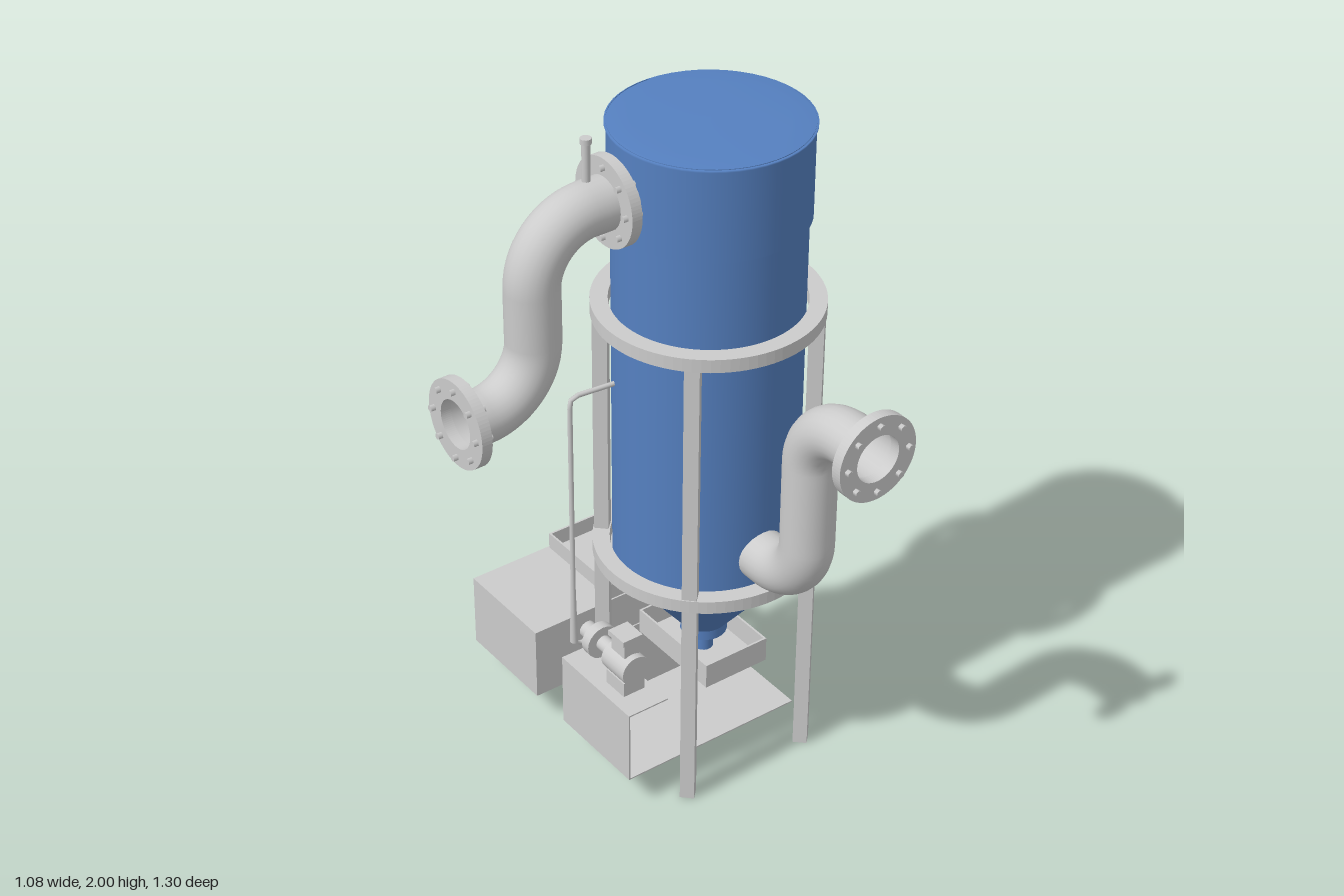
import * as THREE from 'three';

const grey = new THREE.MeshStandardMaterial({ color: 0xcccccc, side: THREE.DoubleSide });
const blue = new THREE.MeshStandardMaterial({ color: 0x5580c0, side: THREE.DoubleSide });
const V = (x, y, z) => new THREE.Vector3(x, y, z);
const CX = 0.235, CZ = -0.047; // tower axis

export function createModel() {
  const root = new THREE.Group();
  root.name = 'filterTower';

  const add = (name, geo, x = 0, y = 0, z = 0, mat = grey, parent = root) => {
    const m = new THREE.Mesh(geo, mat);
    m.name = name;
    m.position.set(x, y, z);
    parent.add(m);
    return m;
  };
  // cylinder between two heights
  const cyl = (name, rTop, rBot, y0, y1, x, z, mat = grey, parent = root, seg = 24) =>
    add(name, new THREE.CylinderGeometry(rTop, rBot, y1 - y0, seg), x, (y0 + y1) / 2, z, mat, parent);
  // box from its limits
  const box = (name, x0, x1, y0, y1, z0, z1, parent = root) =>
    add(name, new THREE.BoxGeometry(x1 - x0, y1 - y0, z1 - z0),
      (x0 + x1) / 2, (y0 + y1) / 2, (z0 + z1) / 2, grey, parent);
  // box open at the top, with thin walls
  const tray = (name, x0, x1, y0, y1, z0, z1) => {
    const g = new THREE.Group(), t = 0.006;
    g.name = name;
    box('trayFloor', x0, x1, y0, y0 + t, z0, z1, g);
    box('traySideA', x0, x0 + t, y0, y1, z0, z1, g);
    box('traySideB', x1 - t, x1, y0, y1, z0, z1, g);
    box('trayEndA', x0, x1, y0, y1, z0, z0 + t, g);
    box('trayEndB', x0, x1, y0, y1, z1 - t, z1, g);
    root.add(g);
  };
  // tube through corner points with rounded bends
  const pipe = (name, pts, bend, r, seg = 24) => {
    const path = new THREE.CurvePath();
    let from = pts[0];
    for (let i = 1; i < pts.length - 1; i++) {
      const c = pts[i];
      const u = pts[i - 1].clone().sub(c).normalize(), w = pts[i + 1].clone().sub(c).normalize();
      const a = c.clone().addScaledVector(u, bend), b = c.clone().addScaledVector(w, bend);
      path.add(new THREE.LineCurve3(from, a));
      const k = 0.45 * bend;
      path.add(new THREE.CubicBezierCurve3(a, c.clone().addScaledVector(u, k), c.clone().addScaledVector(w, k), b));
      from = b;
    }
    path.add(new THREE.LineCurve3(from, pts[pts.length - 1]));
    return add(name, new THREE.TubeGeometry(path, 48, r, seg, false));
  };
  // flat ring, centred on its thickness, axis along z
  const ringGeo = (R, r, t) => {
    const s = new THREE.Shape().absarc(0, 0, R, 0, Math.PI * 2);
    s.holes.push(new THREE.Path().absarc(0, 0, r, 0, Math.PI * 2, true));
    return new THREE.ExtrudeGeometry(s, { depth: t, bevelEnabled: false, curveSegments: 40 }).translate(0, 0, -t / 2);
  };
  // pipe flange with eight bolts
  const flange = (name, x, y, z, alongX) => {
    const g = new THREE.Group();
    g.name = name;
    add('flangeRing', ringGeo(0.12, 0.066, 0.03), 0, 0, 0, grey, g);
    for (let i = 0; i < 8; i++) {
      const a = (i * Math.PI) / 4;
      add('bolt', new THREE.CylinderGeometry(0.009, 0.009, 0.056, 6).rotateX(Math.PI / 2),
        0.096 * Math.cos(a), 0.096 * Math.sin(a), 0, grey, g);
    }
    g.position.set(x, y, z);
    if (alongX) g.rotation.y = Math.PI / 2;
    root.add(g);
  };
  // shell with its back left quarter cut away
  const shell = (name, rTop, rBot, y0, y1) =>
    add(name, new THREE.CylinderGeometry(rTop, rBot, y1 - y0, 48, 1, true, Math.PI, Math.PI * 1.5),
      CX, (y0 + y1) / 2, CZ, blue);

  // Tower shell
  shell('upperShell', 0.26, 0.26, 1.69, 1.95);
  shell('mainShell', 0.251, 0.251, 0.63, 1.69);
  shell('shellStep', 0.26, 0.251, 1.688, 1.69);
  shell('hopperCone', 0.251, 0.065, 0.4, 0.63);
  cyl('hopperNeck', 0.065, 0.065, 0.37, 0.4, CX, CZ, blue);
  cyl('drainPipe', 0.027, 0.027, 0.25, 0.37, CX, CZ, blue);
  const lid = [[0.265, 1.943], [0.265, 1.948], [0.2, 1.951], [0.1, 1.954], [0, 1.955]];
  add('lid', new THREE.LatheGeometry(lid.map(p => new THREE.Vector2(...p)), 48), CX, 0, CZ, blue);

  // Support frame
  for (const y of [0.668, 1.422])
    add('supportRing', ringGeo(0.305, 0.258, 0.038).rotateX(Math.PI / 2), CX, y, CZ);
  for (const sx of [-1, 1]) for (const sz of [-1, 1]) {
    const leg = add('leg', new THREE.BoxGeometry(0.04, 1.41, 0.04), CX + sx * 0.199, 0.705, CZ + sz * 0.199);
    leg.rotation.y = Math.PI / 4;
  }

  // Outlet pipe on the right
  pipe('outletPipe', [V(0.01, 1.812, -0.062), V(-0.295, 1.812, -0.062), V(-0.295, 1.335, -0.062), V(-0.53, 1.335, -0.062)],
    0.165, 0.072);
  flange('outletFlange', -0.515, 1.34, -0.062, true);
  flange('outletTowerFlange', -0.065, 1.812, -0.062, true);
  cyl('ventStub', 0.011, 0.011, 1.87, 1.99, -0.125, -0.07, grey, root, 12);
  cyl('ventCap', 0.015, 0.015, 1.985, 2, -0.125, -0.07, grey, root, 12);

  // Inlet pipe on the front
  pipe('inletPipe', [V(CX, 0.767, 0.17), V(CX, 0.767, 0.382), V(CX, 1.315, 0.382), V(CX, 1.315, 0.63)],
    0.15, 0.072);
  flange('inletFlange', CX, 1.315, 0.62, false);

  // Inner parts seen through the cut
  const inner = new THREE.Group();
  inner.name = 'innerParts';
  inner.position.set(CX + 0.06, 0, CZ);
  root.add(inner);
  cyl('funnel', 0.19, 0.152, 1.595, 1.688, 0, 0, grey, inner, 40);
  cyl('vaneCone', 0.01, 0.15, 1.44, 1.485, 0, 0, grey, inner, 40);
  for (let i = 0; i < 40; i++) {
    const a = (i / 40) * Math.PI * 2;
    const vane = add('vane', new THREE.BoxGeometry(0.045, 0.022, 0.004),
      0.165 * Math.cos(a), 1.435, -0.165 * Math.sin(a), grey, inner);
    vane.rotation.set(0.6, a, 0, 'YXZ');
  }
  add('sprayRing', new THREE.TorusGeometry(0.125, 0.009, 10, 40).rotateX(Math.PI / 2), 0, 1.215, 0, grey, inner);
  for (let i = 0; i < 4; i++) {
    const a = (i + 0.5) * Math.PI / 2;
    cyl('sprayNozzle', 0.008, 0.008, 1.1, 1.215, 0.125 * Math.cos(a), 0.125 * Math.sin(a), grey, inner, 10);
  }
  cyl('tubePlate', 0.148, 0.148, 1.095, 1.103, 0, 0, grey, inner, 40);
  for (let i = -3; i <= 3; i++) for (let j = -3; j <= 3; j++) {
    const x = i * 0.045, z = j * 0.045;
    if (Math.hypot(x, z) < 0.14) cyl('filterTube', 0.021, 0.021, 0.895, 1.1, x, z, grey, inner, 14);
  }

  // Collecting tray under the hopper
  tray('hopperTray', 0.13, 0.337, 0.3, 0.375, -0.205, 0.105);

  // Rear tank with an open tray on top
  box('rearTank', -0.13, 0.437, 0.1, 0.325, -0.655, -0.34);
  tray('rearTray', 0.13, 0.337, 0.32, 0.375, -0.65, -0.345);

  // Open tank below the tower
  box('tankFloor', -0.13, 0.437, 0.1, 0.104, -0.21, 0.105);
  box('tankSide', -0.13, -0.126, 0.1, 0.325, -0.21, 0.105);
  box('tankBack', -0.13, 0.437, 0.1, 0.325, -0.21, -0.206);
  box('tankTop', -0.13, 0.0, 0.321, 0.325, -0.21, 0.105);

  // Pump on the tank
  const px = -0.058, py = 0.405;
  const along = (name, r, z0, z1) =>
    add(name, new THREE.CylinderGeometry(r, r, z1 - z0, 20).rotateX(Math.PI / 2), px, py, (z0 + z1) / 2);
  along('pumpMotor', 0.045, -0.06, 0.04);
  along('pumpShaft', 0.022, -0.13, -0.06);
  along('pumpHousing', 0.05, -0.145, -0.115);
  along('pumpInlet', 0.025, -0.19, -0.145);
  box('pumpFoot', px - 0.035, px + 0.035, 0.325, 0.37, -0.05, 0.03);
  box('terminalBox', px - 0.025, px + 0.025, 0.445, 0.495, -0.04, 0.02);
  box('terminalLid', px - 0.032, px + 0.032, 0.49, 0.507, -0.045, 0.025);

  // Thin supply pipe from the pump to the spray ring
  pipe('supplyPipe', [V(px, 0.405, -0.15), V(-0.13, 0.405, -0.15), V(-0.13, 1.215, -0.15), V(0.19, 1.215, -0.12)],
    0.02, 0.007, 10);
  cyl('supplySleeve', 0.007, 0.011, 0.42, 0.6, -0.13, -0.15, grey, root, 12);

  return root;
}
